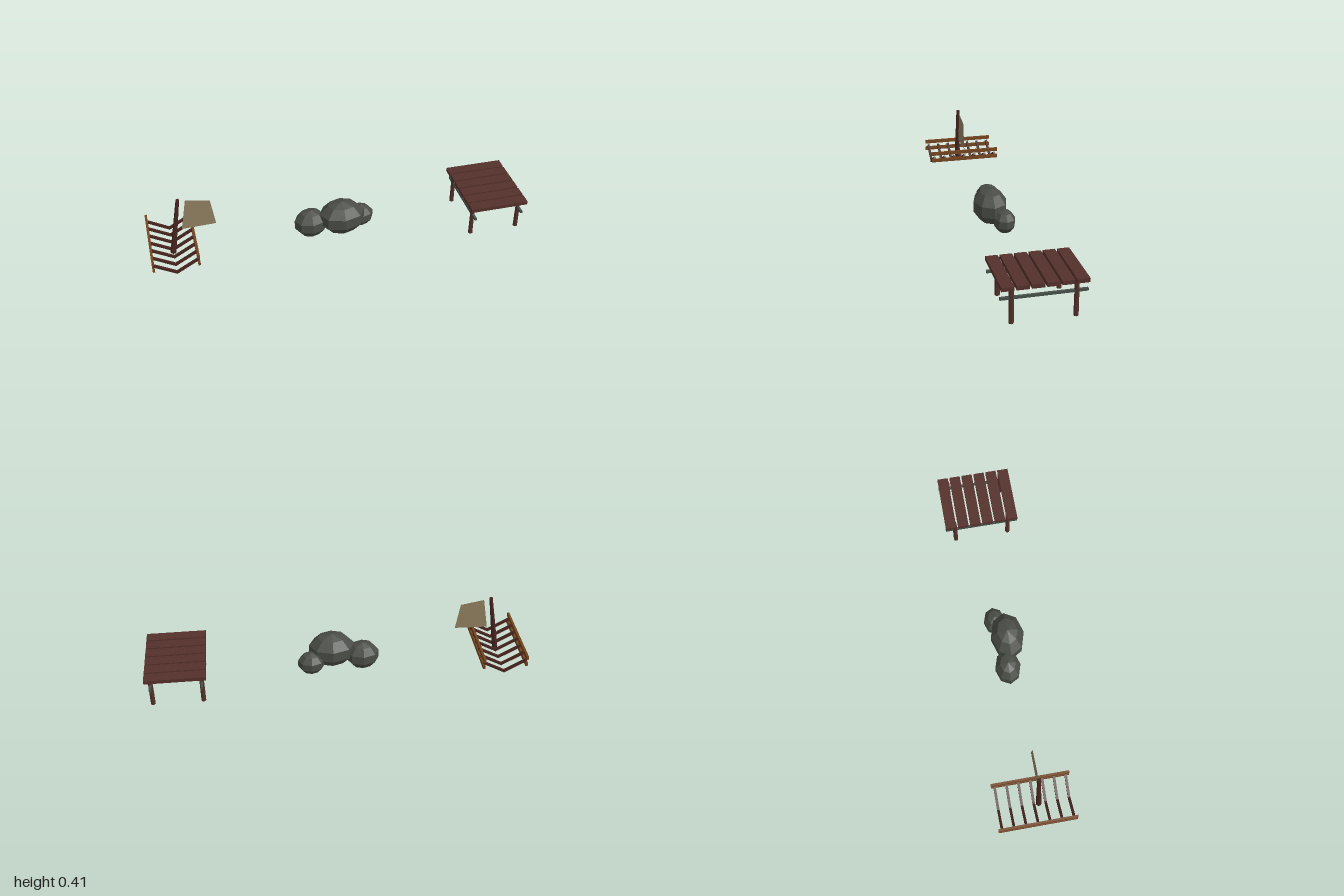
import * as THREE from 'three';

const mat = (name, color) => {
  const m = new THREE.MeshStandardMaterial({ color, flatShading: true });
  m.name = name;
  return m;
};

export function createModel() {
  const plankWood = mat('plank wood', 0x54302a);
  const darkWood = mat('dark wood', 0x47241f);
  const warmWood = mat('warm wood', 0x74451f);
  const stone = mat('stone', 0x4a4d47);
  const rope = mat('grey green rail', 0x465049);
  const cloth = mat('sail cloth', 0x8f7f60);
  cloth.side = THREE.DoubleSide;

  const model = new THREE.Group();
  const group = (name) => {
    const g = new THREE.Group();
    g.name = name;
    model.add(g);
    return g;
  };
  const add = (parent, name, geometry, material, x = 0, y = 0, z = 0) => {
    const m = new THREE.Mesh(geometry, material);
    m.name = name;
    m.position.set(x, y, z);
    parent.add(m);
    return m;
  };
  // Tapered round pole or square bar between two points
  const span = (parent, name, a, b, makeGeometry, material) => {
    const p = new THREE.Vector3(...a), q = new THREE.Vector3(...b);
    const m = add(parent, name, makeGeometry(p.distanceTo(q)), material);
    m.position.copy(p).lerp(q, 0.5);
    m.quaternion.setFromUnitVectors(new THREE.Vector3(0, 1, 0), q.sub(p).normalize());
    return m;
  };

  // Jetty: six planks on four posts with two long side rails
  const jetty = group('jetty');
  for (let i = 0; i < 6; i++) {
    add(jetty, 'plank', new THREE.BoxGeometry(0.315, 0.02, 0.059), plankWood, 0.842, 0.184, (i - 2.5) * 0.069);
  }
  for (const x of [0.71, 0.972]) {
    for (const z of [-0.15, 0.15]) {
      add(jetty, 'post', new THREE.CylinderGeometry(0.0115, 0.0125, 0.193, 8), plankWood, x, 0.0965, z);
    }
    add(jetty, 'sideRail', new THREE.BoxGeometry(0.012, 0.013, 0.406), rope, x, 0.127, 0);
  }

  // Rock pile: three squashed faceted boulders
  const rocks = group('rocks');
  const boulders = [
    [0.017, 0.15, 0.024, 0.129, 0.096, 0.093],
    [-0.146, 0.118, -0.002, 0.092, 0.08, 0.071],
    [0.132, 0.103, -0.027, 0.074, 0.063, 0.059],
  ];
  for (const [x, y, z, rx, ry, rz] of boulders) {
    add(rocks, 'boulder', new THREE.SphereGeometry(1, 8, 5).scale(rx, ry, rz), stone, x, y, z);
  }

  // Boat frame: V-shaped ribs, two boards on each side
  const boat = group('boatFrame');
  const cx = -0.88;
  for (let i = -3; i <= 3; i++) {
    for (const side of [-1, 1]) {
      span(boat, 'rib', [cx - side * 0.004, 0.081, i * 0.0613], [cx + side * 0.114, 0.148, i * 0.0613],
        (l) => new THREE.BoxGeometry(0.012, l, 0.013), darkWood);
    }
  }
  for (const side of [-1, 1]) {
    for (const y of [0.128, 0.17]) {
      add(boat, 'sideBoard', new THREE.BoxGeometry(0.012, 0.02, 0.404), warmWood, cx + side * 0.114, y, 0);
    }
  }

  // Leaning mast and flat sail
  span(boat, 'mast', [-0.882, 0.085, 0.025], [-0.828, 0.413, 0.025],
    (l) => new THREE.CylinderGeometry(0.009, 0.015, l, 8), darkWood);
  const sail = new THREE.Shape([[-0.792, 0.402], [-0.824, 0.226], [-0.648, 0.231], [-0.669, 0.38]]
    .map(([x, y]) => new THREE.Vector2(x, y)));
  add(boat, 'sail', new THREE.ShapeGeometry(sail), cloth, 0, 0, 0.025);

  return model;
}
